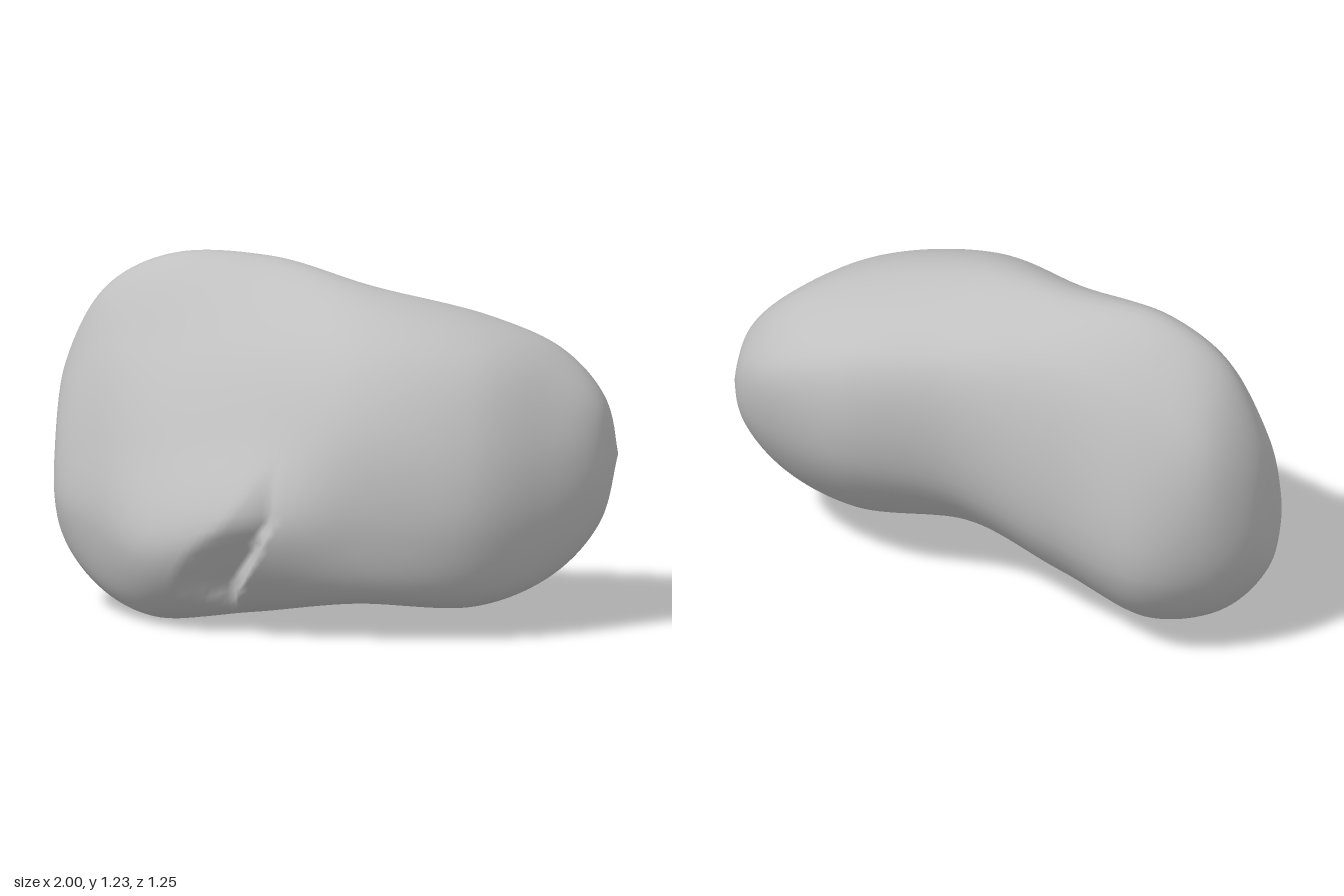
import * as THREE from 'three';

// Cross-sections along x. Each ring is [z, y] pairs running
// top, upper front, front, lower front, bottom, lower back, back, upper back.
const SECTIONS = [
  { x: -0.97, ring: [-0.31, 0.82, -0.19, 0.73, -0.09, 0.55, -0.06, 0.38, -0.15, 0.27, -0.30, 0.30, -0.41, 0.45, -0.40, 0.70] },
  { x: -0.83, ring: [-0.29, 1.09, -0.10, 0.91, 0.06, 0.62, 0.14, 0.34, 0.01, 0.11, -0.32, 0.13, -0.53, 0.36, -0.52, 0.84] },
  { x: -0.60, ring: [-0.25, 1.22, 0.05, 0.95, 0.27, 0.65, 0.44, 0.29, 0.21, 0.03, -0.39, 0.10, -0.62, 0.38, -0.51, 0.98] },
  { x: -0.25, ring: [-0.19, 1.23, 0.20, 1.00, 0.43, 0.70, 0.60, 0.38, 0.38, 0.09, -0.14, 0.10, -0.50, 0.42, -0.45, 1.05] },
  { x: 0.13, ring: [0.00, 1.165, 0.36, 1.03, 0.56, 0.74, 0.60, 0.39, 0.49, 0.15, 0.05, 0.15, -0.34, 0.47, -0.35, 0.98] },
  { x: 0.55, ring: [0.03, 1.07, 0.35, 0.97, 0.52, 0.69, 0.55, 0.38, 0.43, 0.14, 0.05, 0.14, -0.33, 0.51, -0.33, 0.92] },
  { x: 0.80, ring: [0.00, 0.96, 0.21, 0.88, 0.35, 0.67, 0.37, 0.42, 0.27, 0.22, 0.03, 0.25, -0.22, 0.53, -0.25, 0.82] },
  { x: 0.95, ring: [0.02, 0.80, 0.11, 0.77, 0.18, 0.66, 0.20, 0.52, 0.14, 0.38, 0.02, 0.42, -0.10, 0.56, -0.11, 0.72] },
];
const LEFT_POLE = new THREE.Vector3(-1, 0.55, -0.26);
const RIGHT_POLE = new THREE.Vector3(1, 0.6, 0.02);
const clamp = THREE.MathUtils.clamp;

// V-shaped crack in the lower front: steep on the +x side, shallow on the other
function carveCrack(p) {
  if (p.z < 0.3 || p.y > 0.6) return;
  const edge = -0.13 - 0.14 * clamp((0.42 - p.y) / 0.26, 0, 1);
  const grow = clamp((0.6 - p.y) / 0.3, 0, 1) * clamp((p.y - 0.08) / 0.1, 0, 1);
  const width = 0.05 + 0.2 * grow;
  const d = edge - p.x;
  if (Math.abs(d) < 0.014) p.x = edge; // keeps the lip a clean line
  else if (d > 0 && d < width) p.z -= 0.1 * grow * (1 - d / width);
}

function boulderGeometry(cols, segs) {
  // Lengthwise curves through matching points of every cross-section
  const tracks = [];
  for (let k = 0; k < 8; k++) {
    const pts = SECTIONS.map((s) => new THREE.Vector3(s.x, s.ring[2 * k + 1], s.ring[2 * k]));
    tracks.push(new THREE.CatmullRomCurve3([LEFT_POLE, ...pts, RIGHT_POLE]));
  }
  const positions = [];
  const index = [];
  for (let i = 0; i <= cols; i++) {
    const atEnd = i === 0 || i === cols;
    const ring = new THREE.CatmullRomCurve3(tracks.map((t) => t.getPoint(i / cols)), true);
    for (let j = 0; j < segs; j++) {
      const p = atEnd ? (i ? RIGHT_POLE : LEFT_POLE).clone() : ring.getPoint(j / segs);
      carveCrack(p);
      positions.push(p.x, p.y, p.z);
      if (i === cols) continue;
      const a = i * segs + j;
      const b = i * segs + ((j + 1) % segs);
      if (i > 0) index.push(a, b, a + segs);
      if (i < cols - 1) index.push(b, b + segs, a + segs);
    }
  }
  const geo = new THREE.BufferGeometry();
  geo.setAttribute('position', new THREE.Float32BufferAttribute(positions, 3));
  geo.setIndex(index);

  // Centre it and stand it on the ground
  geo.computeBoundingBox();
  const mid = geo.boundingBox.getCenter(new THREE.Vector3());
  geo.translate(-mid.x, -geo.boundingBox.min.y, -mid.z);
  geo.computeVertexNormals();
  return geo;
}

export function createModel() {
  const stone = new THREE.MeshStandardMaterial({ color: 0xc0c0c0 });
  stone.name = 'stone grey';
  const group = new THREE.Group();
  group.name = 'rock';
  const boulder = new THREE.Mesh(boulderGeometry(120, 72), stone);
  boulder.name = 'boulder';
  group.add(boulder);
  return group;
}
